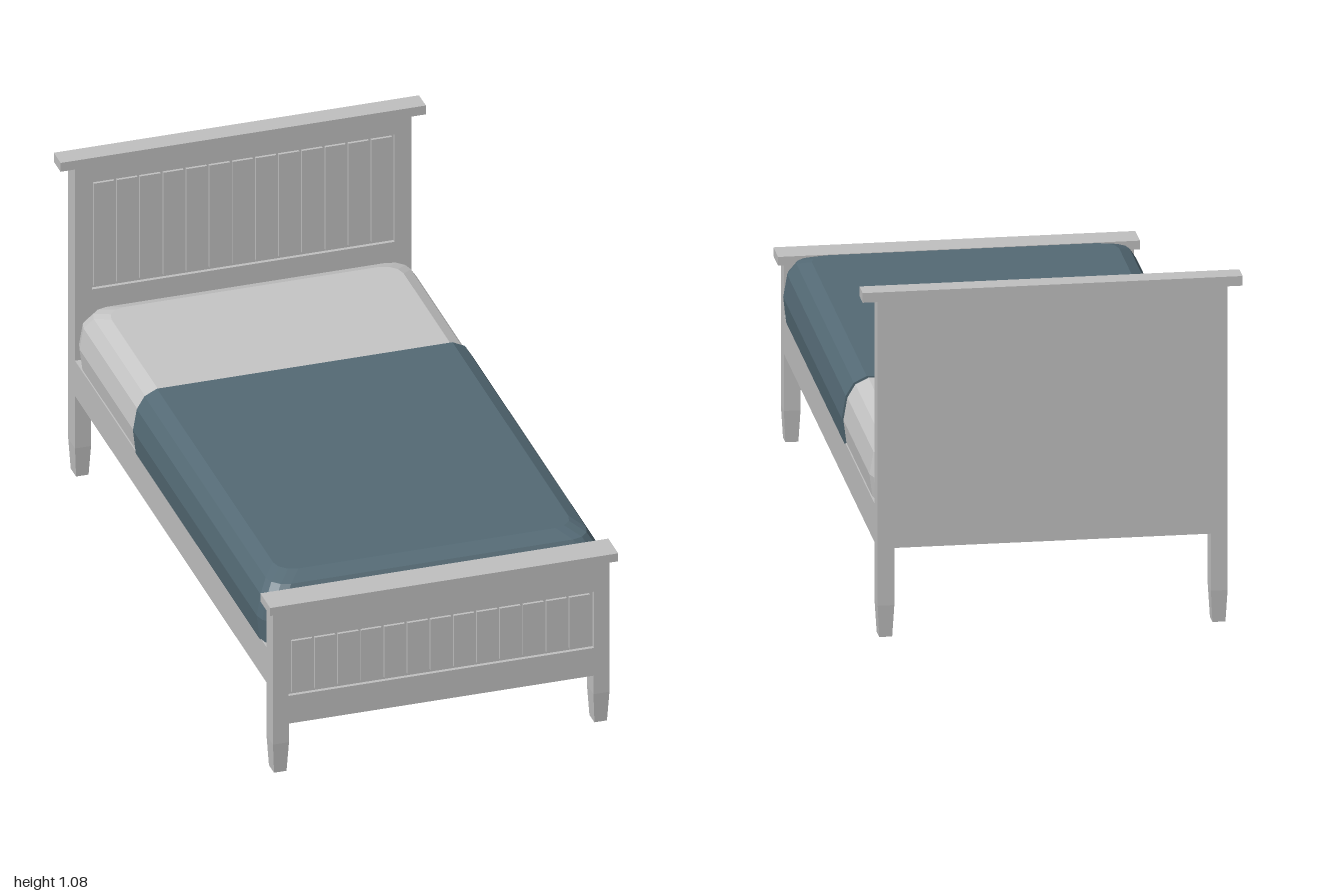
import * as THREE from 'three';

const frameMat = new THREE.MeshStandardMaterial({ color: 0xc0c0c0 });
frameMat.name = 'painted wood';
const sheetMat = new THREE.MeshStandardMaterial({ color: 0xc6c6c6, flatShading: true });
sheetMat.name = 'sheet';
const blanketMat = new THREE.MeshStandardMaterial({ color: 0x546a75, flatShading: true });
blanketMat.name = 'blanket cloth';

function add(parent, name, geometry, material) {
  const mesh = new THREE.Mesh(geometry, material);
  mesh.name = name;
  parent.add(mesh);
  return mesh;
}

// Box given by its limits
function block(parent, name, x0, x1, y0, y1, z0, z1) {
  const geo = new THREE.BoxGeometry(x1 - x0, y1 - y0, z1 - z0);
  geo.translate((x0 + x1) / 2, (y0 + y1) / 2, (z0 + z1) / 2);
  return add(parent, name, geo, frameMat);
}

function rectangle(Type, x, y0, y1) {
  const points = [[-x, y0], [x, y0], [x, y1], [-x, y1]];
  return new Type(points.map(([px, py]) => new THREE.Vector2(px, py)));
}

// Square leg that narrows towards the floor
function leg(parent, side, top, z0, z1) {
  const bend = 0.1;
  const geo = new THREE.BoxGeometry(0.05, top, z1 - z0, 1, 2, 1);
  const pos = geo.attributes.position;
  for (let i = 0; i < pos.count; i++) {
    const y = pos.getY(i);
    if (y < -top / 4) {
      pos.setX(i, pos.getX(i) * 0.78);
      pos.setZ(i, pos.getZ(i) * 0.78);
    } else if (y < top / 4) pos.setY(i, bend - top / 2);
  }
  geo.computeVertexNormals();
  geo.translate(side * 0.5, top / 2, (z0 + z1) / 2);
  add(parent, 'leg', geo.toNonIndexed(), frameMat).geometry.computeVertexNormals();
}

// End board: plain back, recessed front panel with slats, cap rail and legs
function endBoard(name, o) {
  const group = new THREE.Group();
  group.name = name;
  const recess = 0.012, slats = 13;
  block(group, 'backPanel', -0.525, 0.525, o.bottom, o.top, o.z0, o.z1 - recess);

  const face = rectangle(THREE.Shape, 0.525, o.bottom, o.top);
  face.holes.push(rectangle(THREE.Path, o.holeX, o.hole[0], o.hole[1]));
  const faceGeo = new THREE.ExtrudeGeometry(face, { depth: recess, bevelEnabled: false });
  faceGeo.translate(0, 0, o.z1 - recess);
  add(group, 'frontFrame', faceGeo, frameMat);

  const pitch = 0.0722;
  for (let i = 0; i < slats; i++) {
    const x = (i - (slats - 1) / 2) * pitch;
    block(group, 'slat', x - 0.032, x + 0.032, o.hole[0] + 0.009, o.hole[1] - 0.009,
      o.z1 - recess, o.z1 - 0.003);
  }

  block(group, 'capRail', -o.capX, o.capX, o.top, o.capTop, o.capZ[0], o.capZ[1]);
  for (const side of [-1, 1]) leg(group, side, o.bottom, o.z0, o.z1);
  return group;
}

// Plan outline with rounded corners, counter-clockwise seen from above
function outline(x, zBack, zFront, rBack, rFront) {
  const corners = [[1, -1, 0], [-1, -1, 1], [-1, 1, 2], [1, 1, 3]];
  const points = [];
  for (const [sx, sz, quarter] of corners) {
    const r = sz < 0 ? rBack : rFront;
    const steps = r > 0 ? 3 : 0;
    for (let i = 0; i <= steps; i++) {
      const t = (quarter + (steps ? i / steps : 0)) * Math.PI / 2;
      points.push([
        sx * (x - r) + r * Math.cos(t),
        (sz < 0 ? zBack + r : zFront - r) - r * Math.sin(t),
      ]);
    }
  }
  return points;
}

// Soft bulging body: height, half width and end inset of each cross-section
const LEVELS = [[0.4, 0.522, 0], [0.47, 0.531, 0], [0.54, 0.519, 0], [0.58, 0.495, 0.025], [0.599, 0.456, 0.075]];

function softBody(zBack, zFront, grow, roundBack) {
  const rings = LEVELS.map(([y, x, inset], i) => {
    const height = i === 0 ? y - grow : y + grow;
    return outline(x + grow, zBack + (roundBack ? inset : 0), zFront - inset, roundBack ? 0.06 : 0, 0.06)
      .map(([px, pz]) => [px, height, pz]);
  });
  const n = rings[0].length;
  const vertices = [];
  const tri = (...corners) => corners.forEach((p) => vertices.push(...p));
  const centre = (ring) => [0, ring[0][1], (zBack + zFront) / 2];
  const top = rings[rings.length - 1];
  for (let j = 0; j < n; j++) {
    const k = (j + 1) % n;
    for (let i = 0; i < rings.length - 1; i++) {
      const a = rings[i], b = rings[i + 1];
      tri(a[j], a[k], b[k]);
      tri(a[j], b[k], b[j]);
    }
    tri(centre(top), top[j], top[k]);
    tri(centre(rings[0]), rings[0][k], rings[0][j]);
  }
  const geo = new THREE.BufferGeometry();
  geo.setAttribute('position', new THREE.Float32BufferAttribute(vertices, 3));
  geo.computeVertexNormals();
  return geo;
}

export function createModel() {
  const bed = new THREE.Group();
  bed.name = 'bed';

  bed.add(endBoard('headboard', {
    bottom: 0.278, top: 1.047, z0: -1, z1: -0.934,
    holeX: 0.472, hole: [0.631, 0.996],
    capX: 0.57, capTop: 1.077, capZ: [-1, -0.934],
  }));
  bed.add(endBoard('footboard', {
    bottom: 0.163, top: 0.555, z0: 0.908, z1: 0.971,
    holeX: 0.476, hole: [0.257, 0.448],
    capX: 0.543, capTop: 0.582, capZ: [0.905, 1],
  }));

  // Side rails and base in one slab
  block(bed, 'bedBase', -0.525, 0.525, 0.278, 0.398, -0.934, 0.908);

  add(bed, 'mattress', softBody(-0.932, 0.902, 0, true), sheetMat);
  add(bed, 'blanket', softBody(-0.343, 0.908, 0.005, false), blanketMat);
  return bed;
}
